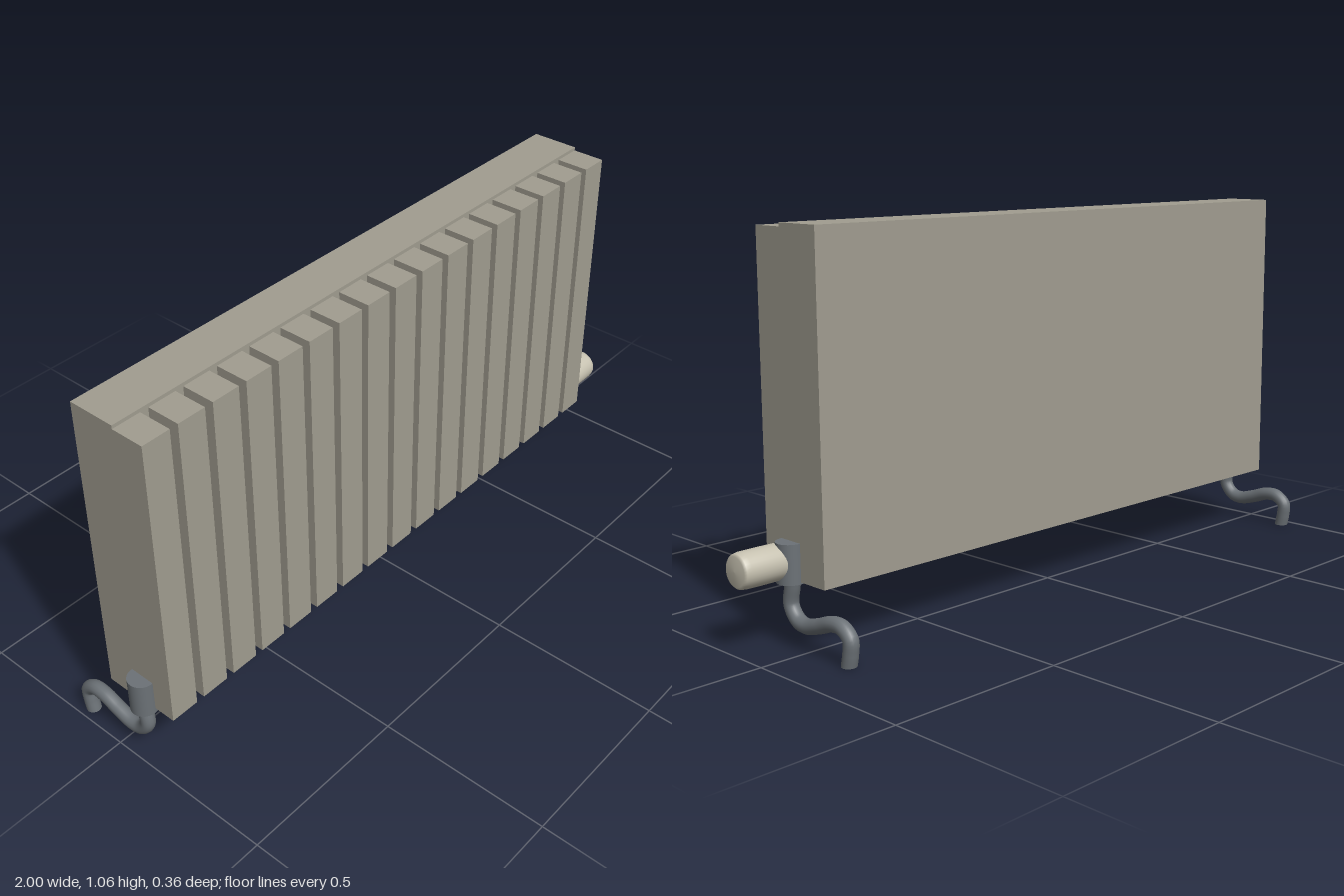
import * as THREE from 'three';

export function createModel() {
  const model = new THREE.Group();
  const enamel = new THREE.MeshStandardMaterial({ color: 0xa19d90 });
  const metal = new THREE.MeshStandardMaterial({ color: 0x6c7277 });
  const plastic = new THREE.MeshStandardMaterial({ color: 0xc6c1b0 });

  const add = (name, geometry, material, x, y, z) => {
    const mesh = new THREE.Mesh(geometry, material);
    mesh.name = name;
    mesh.position.set(x, y, z);
    model.add(mesh);
    return mesh;
  };

  // Back panel
  const left = -0.96, right = 0.845;
  add('backPanel', new THREE.BoxGeometry(right - left, 0.89, 0.139), enamel,
    (left + right) / 2, 0.615, 0.0145);

  // Row of front fins
  const fins = 17, finWidth = 0.083;
  const pitch = (right - left - finWidth) / (fins - 1);
  const finGeometry = new THREE.BoxGeometry(finWidth, 0.87, 0.096);
  for (let i = 0; i < fins; i++) {
    add('fin', finGeometry, enamel, left + finWidth / 2 + i * pitch, 0.615, 0.132);
  }

  // S-bent supply pipe, listed as [y, z] from valve to floor
  const path = new THREE.CatmullRomCurve3([
    [0.19, 0.066], [0.155, 0.073], [0.105, 0.08], [0.07, 0.053], [0.062, 0.018],
    [0.075, -0.035], [0.092, -0.085], [0.092, -0.125], [0.068, -0.155],
    [0.035, -0.154], [0, -0.147],
  ].map(([y, z]) => new THREE.Vector3(0, y, z)));
  const pipeGeometry = new THREE.TubeGeometry(path, 64, 0.0205, 16, false);
  // Trim the slanted outlet level with the floor
  const pos = pipeGeometry.attributes.position;
  for (let i = 0; i < pos.count; i++) {
    if (pos.getZ(i) < -0.1 && (pos.getY(i) < 0 || i >= pos.count - 17)) pos.setY(i, 0);
  }
  const outletGeometry = new THREE.CircleGeometry(0.0205, 16).rotateX(Math.PI / 2);

  // Valve body and pipe at each end
  for (const x of [-0.963, 0.847]) {
    add('valveBody', new THREE.CylinderGeometry(0.038, 0.038, 0.105, 32), metal, x, 0.2175, 0.077);
    add('supplyPipe', pipeGeometry, metal, x, 0, 0);
    add('pipeEnd', outletGeometry, metal, x, 0.0005, -0.147);
  }

  // Thermostat knob with softened ends
  const profile = [
    [0, 0], [0.04, 0], [0.044, 0.004], [0.0475, 0.02], [0.048, 0.075],
    [0.0475, 0.125], [0.045, 0.139], [0.039, 0.145], [0, 0.147],
  ].map(([r, h]) => new THREE.Vector2(r, h));
  const knob = add('thermostatKnob', new THREE.LatheGeometry(profile, 32), plastic, 0.853, 0.218, 0.098);
  knob.rotation.z = -Math.PI / 2;

  return model;
}
